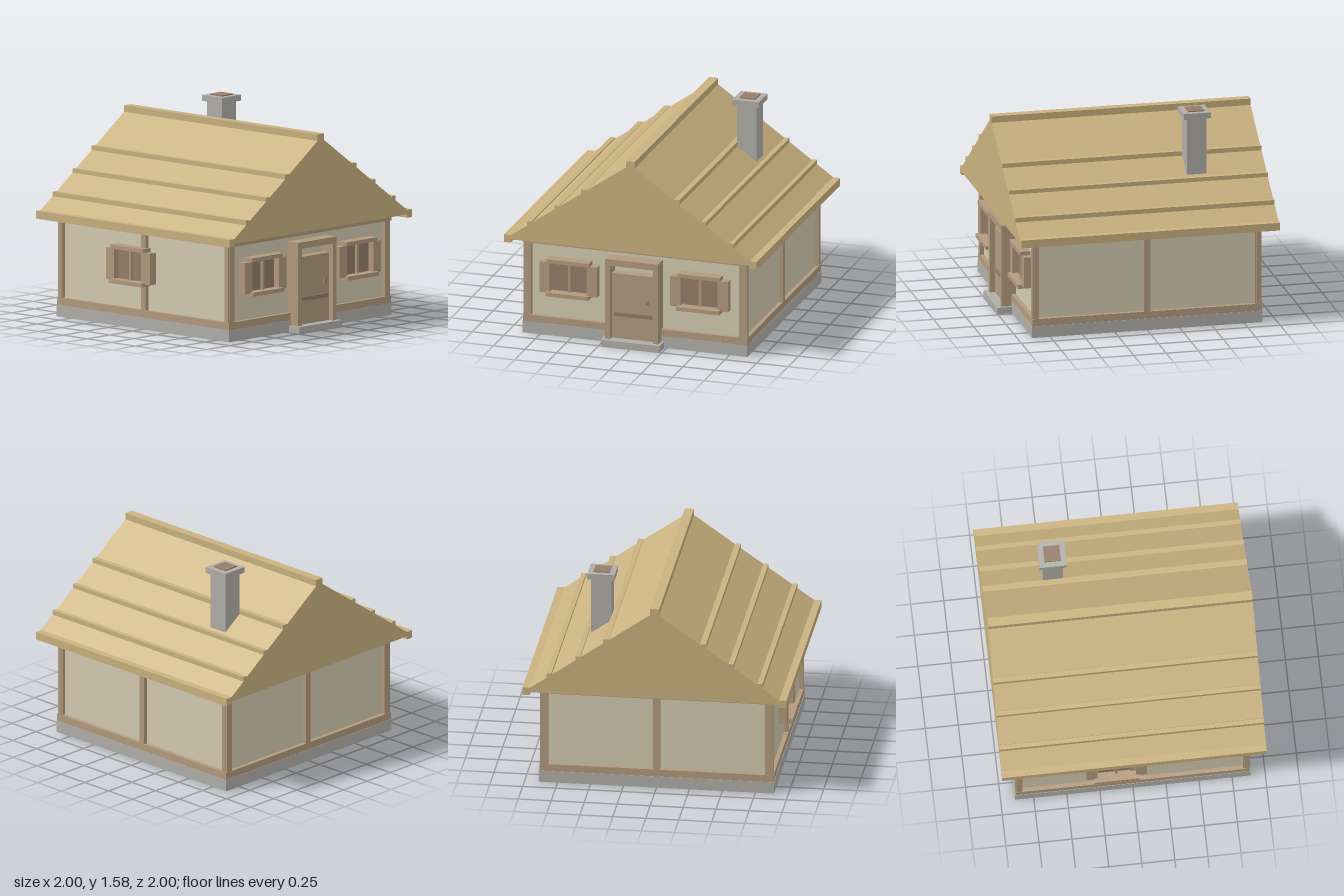
import * as THREE from 'three';

const mat = (color) => new THREE.MeshStandardMaterial({ color, flatShading: true });

export function createModel() {
  const house = new THREE.Group();
  house.name = 'cottage';
  const wood = mat(0xb29a7e), plaster = mat(0xd3cab0), stone = mat(0xb0aea8);
  const thatch = mat(0xc9b17f), darkWood = mat(0x957d69);

  // Box given by its minimum and maximum on each axis
  const box = (parent, name, material, x0, x1, y0, y1, z0, z1) => {
    const mesh = new THREE.Mesh(new THREE.BoxGeometry(x1 - x0, y1 - y0, z1 - z0), material);
    mesh.position.set((x0 + x1) / 2, (y0 + y1) / 2, (z0 + z1) / 2);
    mesh.name = name;
    parent.add(mesh);
    return mesh;
  };

  // Foundation, plaster core and the beams that ring it
  box(house, 'foundation', stone, -0.89, 0.89, 0, 0.09, -0.89, 0.89);
  box(house, 'walls', plaster, -0.855, 0.855, 0.09, 0.77, -0.855, 0.855);
  box(house, 'bottomBeam', wood, -0.887, 0.887, 0.09, 0.145, -0.887, 0.887);
  box(house, 'topBeam', wood, -0.89, 0.89, 0.72, 0.77, -0.89, 0.89);

  // Corner posts: one for each face, leaving a notch at the corner
  for (const sx of [-1, 1]) for (const sz of [-1, 1]) {
    const post = (name, w, d, x, z) =>
      box(house, name, wood, sx * x - w / 2, sx * x + w / 2, 0.145, 0.72, sz * z - d / 2, sz * z + d / 2);
    post('cornerPost', 0.055, 0.05, 0.85, 0.86);
    post('cornerSidePost', 0.05, 0.035, 0.86, 0.86);
  }

  // Middle posts on the sides and back
  for (const s of [-1, 1])
    box(house, 'sidePost', wood, s * 0.86 - 0.025, s * 0.86 + 0.025, 0.145, 0.72, -0.025, 0.025);
  box(house, 'backPost', wood, -0.025, 0.025, 0.145, 0.72, -0.885, -0.835);

  // Roof: stepped gable profile, mirrored and extruded along z
  const half = [
    [0.035, 1.495], [0.035, 1.445],
    [0.345, 1.227], [0.352, 1.23], [0.39, 1.23], [0.39, 1.195],
    [0.56, 1.076], [0.565, 1.08], [0.6, 1.08], [0.6, 1.048],
    [0.778, 0.923], [0.783, 0.93], [0.818, 0.93], [0.818, 0.894],
    [0.945, 0.805], [1, 0.805], [1, 0.745], [0.945, 0.745], [0.945, 0.77],
  ];
  const profile = [...half, ...half.map(([x, y]) => [-x, y]).reverse()];
  const roofShape = new THREE.Shape(profile.map(([x, y]) => new THREE.Vector2(x, y)));
  const roofGeometry = new THREE.ExtrudeGeometry(roofShape, { depth: 2, bevelEnabled: false });
  const roof = new THREE.Mesh(roofGeometry.translate(0, 0, -1), thatch);
  roof.name = 'roof';
  house.add(roof);

  // Chimney with cap and flue
  const chimney = new THREE.Group();
  chimney.name = 'chimney';
  box(chimney, 'chimneyStack', stone, -0.077, 0.077, 1.0, 1.53, -0.077, 0.077);
  box(chimney, 'chimneyCap', stone, -0.104, 0.104, 1.53, 1.575, -0.104, 0.104);
  box(chimney, 'chimneyFlue', darkWood, -0.062, 0.062, 1.55, 1.583, -0.062, 0.062);
  chimney.position.set(0.464, 0, -0.464);
  house.add(chimney);

  // Door
  const door = new THREE.Group();
  door.name = 'door';
  box(door, 'doorStep', stone, -0.233, 0.233, 0, 0.05, 0.86, 1);
  for (const s of [-1, 1])
    box(door, 'doorJamb', wood, s * 0.19 - 0.02, s * 0.19 + 0.02, 0.05, 0.685, 0.85, 0.965);
  box(door, 'doorLintel', wood, -0.17, 0.17, 0.635, 0.685, 0.85, 0.965);
  box(door, 'doorPanel', wood, -0.17, 0.17, 0.05, 0.565, 0.85, 0.925);
  box(door, 'doorRail', darkWood, -0.148, 0.148, 0.23, 0.26, 0.92, 0.94);
  box(door, 'doorHandle', darkWood, 0.102, 0.121, 0.34, 0.373, 0.92, 0.945);
  house.add(door);

  // Shuttered window, built facing +z with z = 0 at the house centre
  const addWindow = (name, x, z, turn) => {
    const w = new THREE.Group();
    w.name = name;
    box(w, 'windowPane', darkWood, -0.137, 0.137, 0.36, 0.59, 0.85, 0.875);
    box(w, 'windowMullion', wood, -0.011, 0.011, 0.36, 0.59, 0.85, 0.895);
    box(w, 'windowSill', wood, -0.17, 0.17, 0.33, 0.36, 0.85, 0.953);
    box(w, 'windowLintel', wood, -0.17, 0.17, 0.59, 0.62, 0.85, 0.938);
    for (const s of [-1, 1])
      box(w, 'shutter', wood, s * 0.187 - 0.041, s * 0.187 + 0.041, 0.35, 0.59, 0.85, 0.92);
    w.position.set(x, 0, z);
    w.rotation.y = turn;
    house.add(w);
  };
  addWindow('frontRightWindow', -0.518, 0, 0);
  addWindow('frontLeftWindow', 0.518, 0, 0);
  addWindow('sideWindow', 0, -0.125, -Math.PI / 2);

  return house;
}
